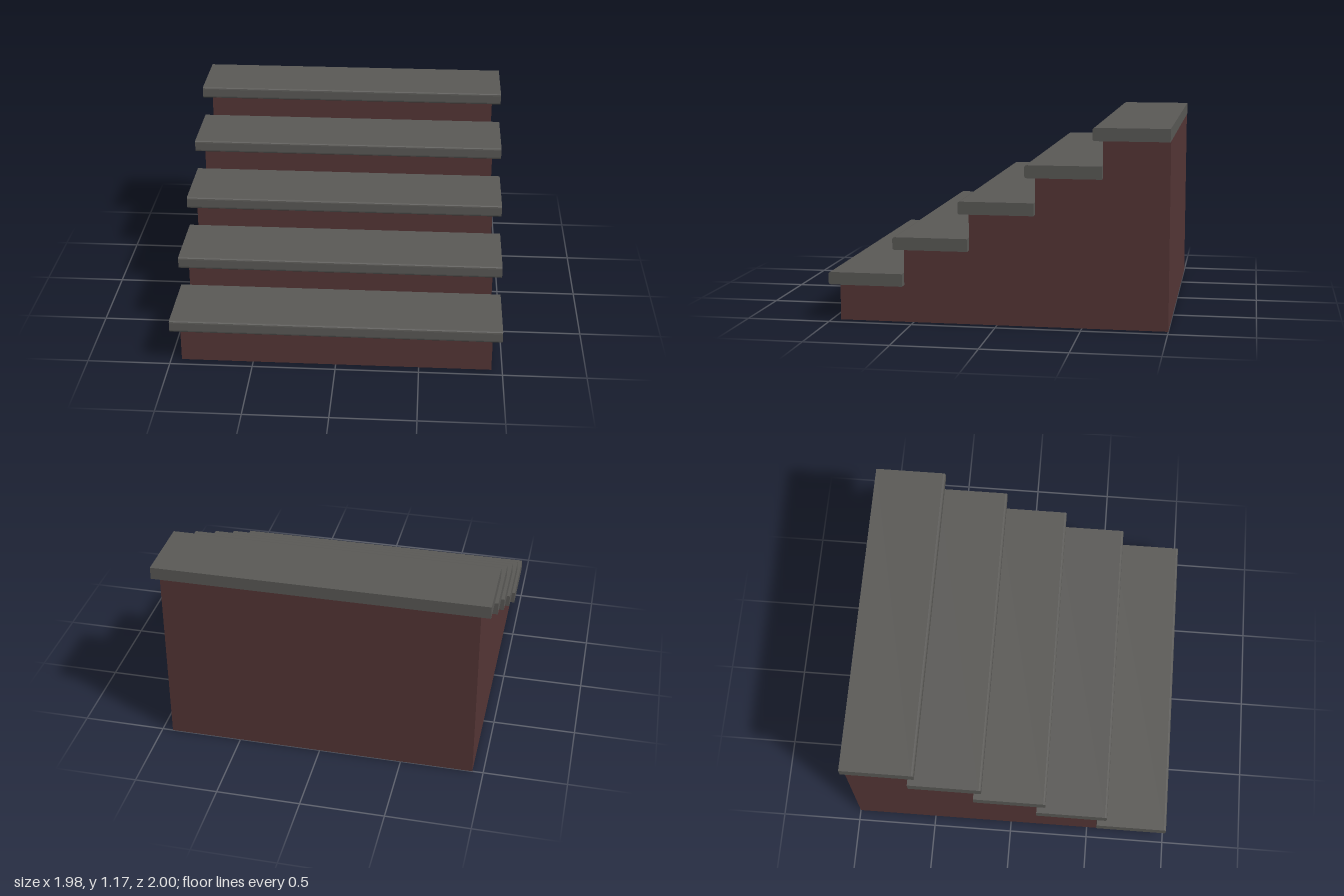
import * as THREE from 'three';

const STEPS = 5, RUN = 0.39, RISE = 0.219;
const FIRST_RISER = 0.222, TREAD_HEIGHT = 0.075, NOSING = 0.055;
const RISER_FRONT = 0.945, BACK = -1;

// Extrude a (z, y) side profile across the width, centred on x = 0
function extrudeAcross(shape, width) {
  const geometry = new THREE.ExtrudeGeometry(shape, { depth: width, bevelEnabled: false, curveSegments: 3 });
  geometry.rotateY(-Math.PI / 2);
  geometry.translate(width / 2, 0, 0);
  return geometry;
}

// Slab profile with a softly rounded front edge, starting at y = 0
function treadShape(front, back) {
  const r = 0.014, h = TREAD_HEIGHT;
  const s = new THREE.Shape();
  s.moveTo(back, 0);
  s.lineTo(front - r, 0);
  s.quadraticCurveTo(front, 0, front, r);
  s.lineTo(front, h - r);
  s.quadraticCurveTo(front, h, front - r, h);
  s.lineTo(back, h);
  s.closePath();
  return s;
}

export function createModel() {
  const model = new THREE.Group();
  model.name = 'staircase';
  const stone = new THREE.MeshStandardMaterial({ name: 'grey stone', color: 0x5a5956 });
  const brick = new THREE.MeshStandardMaterial({ name: 'dark red brick', color: 0x553636 });

  // Solid stepped base
  const profile = new THREE.Shape();
  profile.moveTo(BACK, 0);
  profile.lineTo(RISER_FRONT, 0);
  for (let i = 0; i < STEPS; i++) {
    const z = RISER_FRONT - i * RUN;
    const y = FIRST_RISER + i * RISE;
    profile.lineTo(z, y);
    profile.lineTo(i < STEPS - 1 ? z - RUN : BACK, y);
  }
  profile.closePath();
  const base = new THREE.Mesh(extrudeAcross(profile, 1.87), brick);
  base.name = 'steppedBase';
  model.add(base);

  // Overhanging treads, each ending at the next riser
  for (let i = 0; i < STEPS; i++) {
    const riser = RISER_FRONT - i * RUN;
    const back = i < STEPS - 1 ? riser - RUN : BACK;
    const tread = new THREE.Mesh(extrudeAcross(treadShape(riser + NOSING, back), 1.98), stone);
    tread.name = `tread${i + 1}`;
    tread.position.y = FIRST_RISER + i * RISE;
    model.add(tread);
  }
  return model;
}
